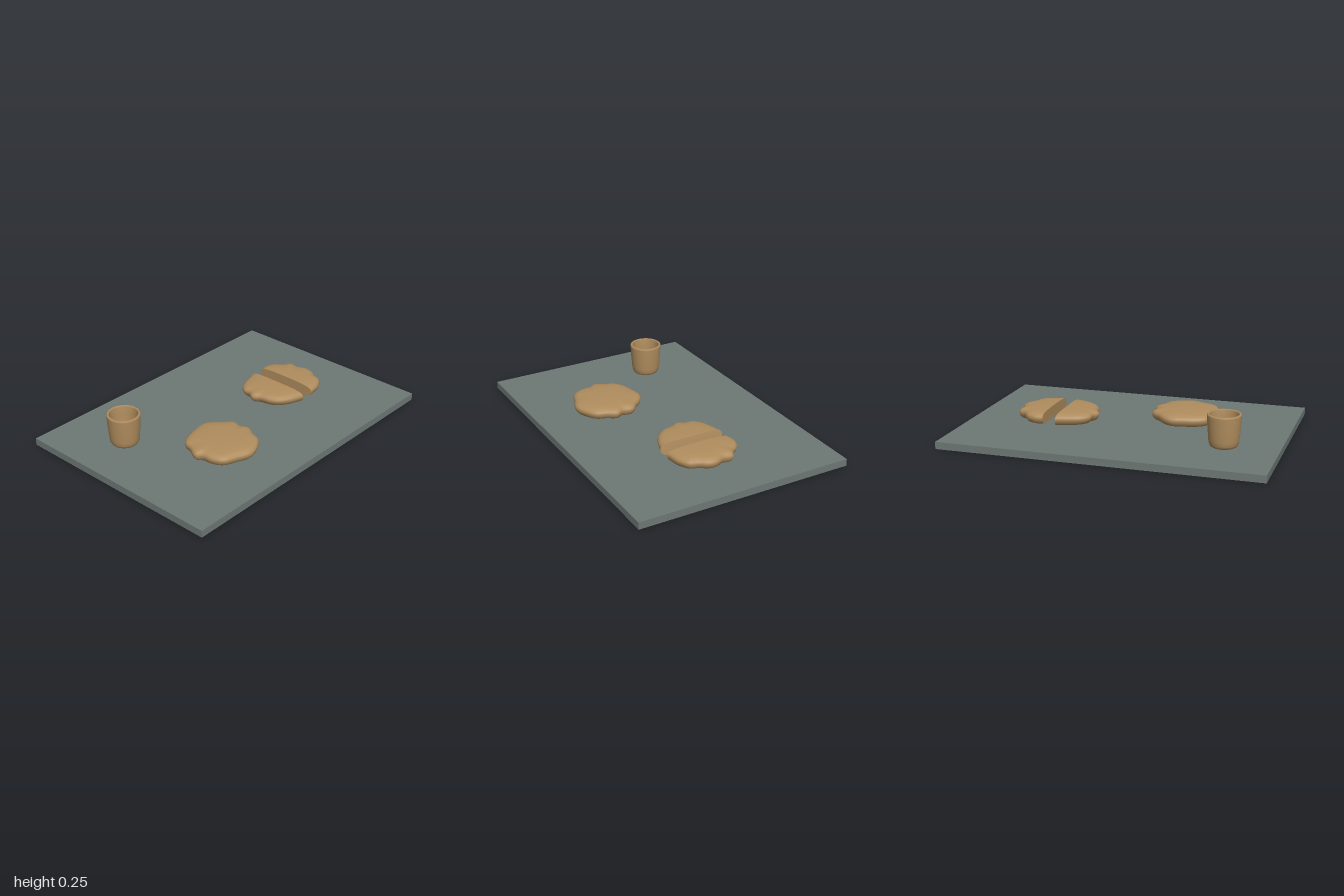
import * as THREE from 'three';

const boardMat = new THREE.MeshStandardMaterial({ color: 0x6d7874 });
boardMat.name = 'slate grey';
const clayMat = new THREE.MeshStandardMaterial({ color: 0xb08d5e });
clayMat.name = 'baked brown';

// Loaf cross-section from bottom centre to top centre: [outline scale, height]
const SECTION = [
  [0, 0.045], [0.84, 0.045], [0.92, 0.052], [0.975, 0.066], [1, 0.084],
  [0.985, 0.098], [0.93, 0.109], [0.82, 0.116], [0.6, 0.121], [0.3, 0.123], [0, 0.123],
];

function meshFrom(name, positions, index) {
  const geo = new THREE.BufferGeometry();
  geo.setAttribute('position', new THREE.Float32BufferAttribute(positions, 3));
  geo.setIndex(index);
  geo.computeVertexNormals();
  const mesh = new THREE.Mesh(geo, clayMat);
  mesh.name = name;
  return mesh;
}

// Puffs an [x, z] outline into a loaf around a centre; an open outline gets a flat cut face
function makeLoaf(name, outline, [cx, cz], closed, lean = 0) {
  const group = new THREE.Group();
  group.name = name;
  const curve = new THREE.CatmullRomCurve3(
    outline.map(([x, z]) => new THREE.Vector3(x, 0, z)), closed, 'centripetal');
  const n = 72;
  const rim = Array.from({ length: n }, (_, i) => curve.getPoint(i / (closed ? n : n - 1)));
  const positions = [], index = [];
  for (const [s, y] of SECTION) {
    for (const p of rim) {
      positions.push(cx + (p.x - cx) * s + lean * (y - 0.12), y, cz + (p.z - cz) * s);
    }
  }
  const quad = (list, a, b, a2, b2) => list.push(a, a2, b, b, a2, b2);
  for (let j = 0; j < SECTION.length - 1; j++) {
    for (let i = 0; i < (closed ? n : n - 1); i++) {
      const k = (i + 1) % n;
      quad(index, j * n + i, j * n + k, (j + 1) * n + i, (j + 1) * n + k);
    }
  }
  group.add(meshFrom('crust', positions, index));
  if (!closed) {
    // Cut face joins the two ends of every ring
    const cut = [], cutIndex = [];
    SECTION.forEach((_, j) => {
      for (const v of [j * n + n - 1, j * n]) cut.push(...positions.slice(v * 3, v * 3 + 3));
      if (j) quad(cutIndex, 2 * j - 2, 2 * j - 1, 2 * j, 2 * j + 1);
    });
    group.add(meshFrom('cutFace', cut, cutIndex));
  }
  return group;
}

export function createModel() {
  const model = new THREE.Group();
  model.name = 'breadAndCupOnBoard';

  // Flat serving board
  const board = new THREE.Mesh(new THREE.BoxGeometry(2, 0.045, 1.39), boardMat);
  board.name = 'board';
  board.position.y = 0.0225;
  model.add(board);

  // Whole round loaf
  model.add(makeLoaf('wholeLoaf', [
    [-0.26, 0], [-0.21, 0.025], [-0.16, 0.08], [-0.11, 0.13], [-0.12, 0.195], [-0.10, 0.245],
    [-0.135, 0.31], [-0.155, 0.365], [-0.21, 0.41], [-0.30, 0.44], [-0.385, 0.41],
    [-0.475, 0.37], [-0.51, 0.30], [-0.515, 0.24], [-0.54, 0.20], [-0.505, 0.13],
    [-0.485, 0.07], [-0.42, 0.03], [-0.34, 0.01],
  ], [-0.32, 0.22], true));

  // Loaf broken into two halves
  model.add(makeLoaf('halfLoafRight', [
    [0.425, 0.24], [0.34, 0.21], [0.27, 0.165], [0.235, 0.11], [0.22, 0.045], [0.197, 0],
    [0.22, -0.045], [0.225, -0.095], [0.27, -0.14], [0.35, -0.17], [0.425, -0.19],
  ], [0.423, 0.02], false, -0.15));
  model.add(makeLoaf('halfLoafLeft', [
    [0.512, -0.19], [0.57, -0.195], [0.62, -0.175], [0.665, -0.12], [0.71, -0.09],
    [0.705, -0.03], [0.727, 0.03], [0.72, 0.08], [0.685, 0.135], [0.665, 0.185],
    [0.60, 0.225], [0.512, 0.24],
  ], [0.512, 0.02], false));

  // Hollow cup with rounded foot and lip
  const cupProfile = [
    [0, 0.045], [0.07, 0.045], [0.08, 0.05], [0.088, 0.065], [0.092, 0.09], [0.098, 0.16],
    [0.102, 0.235], [0.102, 0.243], [0.098, 0.247], [0.09, 0.247], [0.086, 0.242],
    [0.083, 0.19], [0.079, 0.1], [0.073, 0.076], [0.06, 0.07], [0, 0.07],
  ].map(([r, y]) => new THREE.Vector2(r, y));
  const cup = new THREE.Mesh(new THREE.LatheGeometry(cupProfile, 40), clayMat);
  cup.name = 'cup';
  cup.position.set(-0.663, 0, -0.263);
  model.add(cup);

  return model;
}
